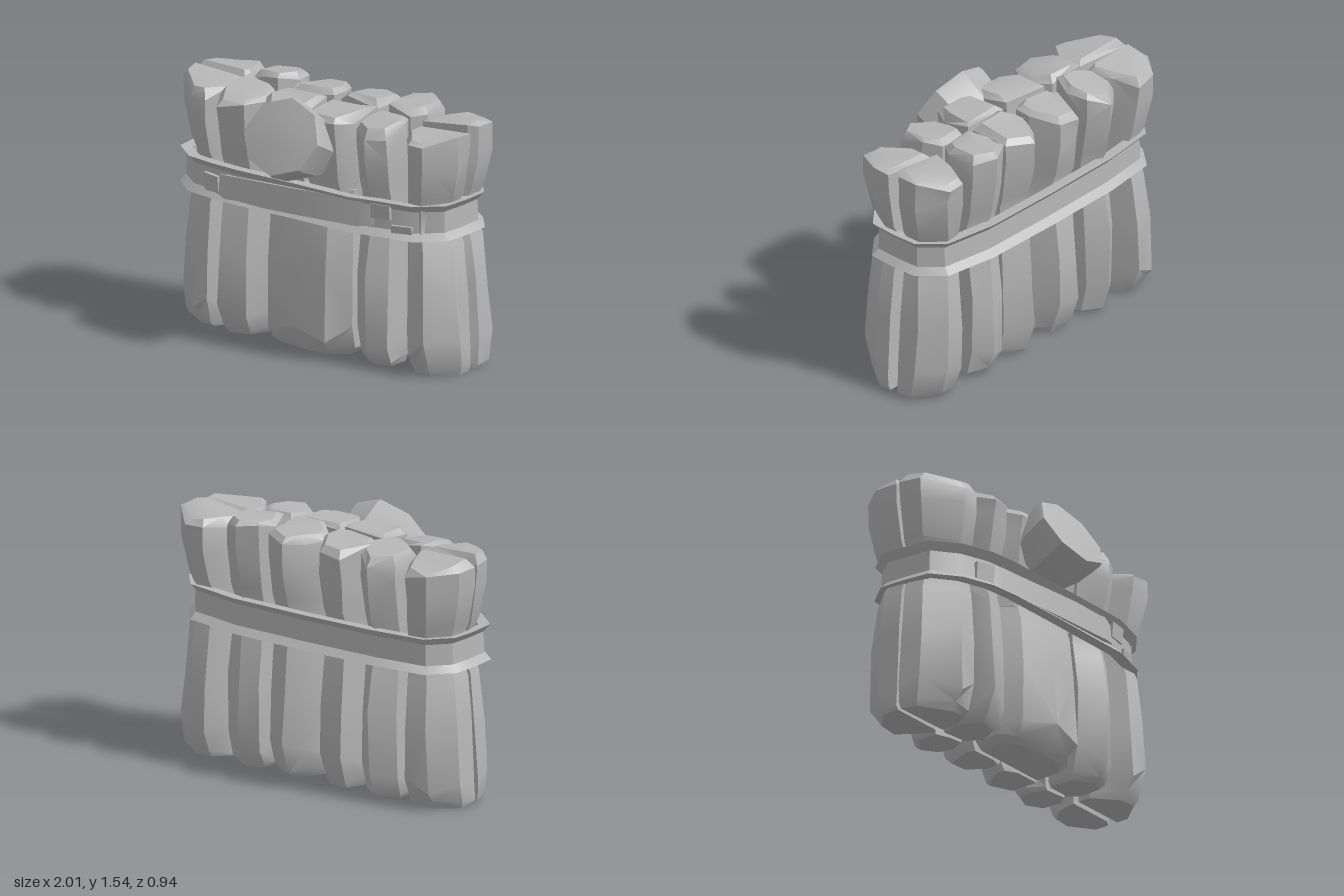
import * as THREE from 'three';
import { toCreasedNormals } from 'three/addons/utils/BufferGeometryUtils.js';

const V = (x, y, z) => new THREE.Vector3(x, y, z);

// Skin a list of equal-length rings; either capped at both ends or joined into a loop
function loft(rings, closed = false) {
  const n = rings[0].length, m = rings.length, tris = [];
  for (let i = 0; i < (closed ? m : m - 1); i++) {
    const a = rings[i], b = rings[(i + 1) % m];
    for (let j = 0; j < n; j++) {
      const k = (j + 1) % n;
      if ((i + j) % 2) tris.push(a[j], a[k], b[k], a[j], b[k], b[j]);
      else tris.push(a[j], a[k], b[j], a[k], b[k], b[j]);
    }
  }
  if (!closed) {
    const cap = (r, flip) => {
      const c = V(0, 0, 0);
      r.forEach(p => c.addScaledVector(p, 1 / n));
      r.forEach((p, j) => {
        const q = r[(j + 1) % n];
        flip ? tris.push(c, q, p) : tris.push(c, p, q);
      });
    };
    cap(rings[0], true);
    cap(rings[m - 1], false);
  }
  // Make the surface face outward
  let volume = 0;
  for (let i = 0; i < tris.length; i += 3) {
    volume += tris[i].dot(tris[i + 1].clone().cross(tris[i + 2]));
  }
  if (volume < 0) {
    for (let i = 0; i < tris.length; i += 3) [tris[i + 1], tris[i + 2]] = [tris[i + 2], tris[i + 1]];
  }
  return toCreasedNormals(new THREE.BufferGeometry().setFromPoints(tris), 0.55);
}

// Height, outer stick width, inner stick width, depth and roughness: pinched at the strap
const PROFILE = [
  [0.012, 0.96, 0.8, 0.7, 0], [0.05, 1, 0.96, 0.8, 0.3], [0.17, 1, 1, 0.96, 1], [0.5, 0.94, 0.98, 0.95, 1],
  [0.78, 0.87, 0.95, 0.85, 0.3], [0.86, 0.77, 0.94, 0.78, 0], [1.01, 0.77, 0.94, 0.78, 0],
  [1.08, 0.87, 0.96, 0.87, 0.3], [1.27, 0.99, 1, 0.97, 1],
];

export function createModel() {
  const group = new THREE.Group();
  const stone = new THREE.MeshStandardMaterial({ color: 0xb6b6b6 });
  stone.name = 'grey';
  const add = (name, geometry) => {
    const mesh = new THREE.Mesh(geometry, stone);
    mesh.name = name;
    group.add(mesh);
    return mesh;
  };
  let seed = 7;
  const rand = () => ((seed = (seed * 16807) % 2147483647) / 2147483647) - 0.5;

  // One stick from its plan outline; its top is tilted by slopeX and slopeZ
  function stick(name, plan, top, slopeX, slopeZ, y0 = 0, y1 = 2) {
    const xs = plan.map(p => p[0]), zs = plan.map(p => p[1]);
    const mx = (Math.min(...xs) + Math.max(...xs)) / 2;
    const mz = (Math.min(...zs) + Math.max(...zs)) / 2;
    const outer = Math.abs(mx) > 0.7;
    const ax = outer ? Math.sign(mx) * 0.63 : mx; // outer sticks keep their inner edge
    const az = mz < -0.11 ? -0.13 : -0.1;         // rows keep the gap between them
    const rings = PROFILE.filter(p => p[0] >= y0 && p[0] <= y1).map(([y, so, si, sz, rough]) =>
      plan.map(([x, z]) => V(
        ax + (x - ax) * (outer ? so : si) * (1 + rand() * 0.04 * rough),
        y + rand() * 0.12 * rough,
        az + (z - az) * sz * (1 + rand() * 0.09 * rough))));
    if (y1 > 1.3) {
      const tilt = (x, z) => slopeX * (x - mx) + slopeZ * (z - mz);
      rings.push(plan.map(([x, z]) => V(x, top - 0.03 + tilt(x, z) + rand() * 0.05, z)));
      rings.push(plan.map(([x, z]) => {
        const px = mx + (x - mx) * 0.78, pz = mz + (z - mz) * 0.78;
        return V(px, top + tilt(px, pz) + rand() * 0.03, pz);
      }));
    }
    add(name, loft(rings));
  }

  // Back row, from the right side to the left
  [
    [[[-1, -0.13], [-1, -0.28], [-0.88, -0.43], [-0.74, -0.45], [-0.67, -0.31], [-0.61, -0.16], [-0.64, -0.13]], 1.46, -0.04, 0.1],
    [[[-0.62, -0.18], [-0.61, -0.37], [-0.48, -0.47], [-0.37, -0.38], [-0.34, -0.25], [-0.4, -0.12], [-0.5, -0.13]], 1.48, 0.05, 0.12],
    [[[-0.32, -0.2], [-0.25, -0.43], [-0.1, -0.42], [-0.01, -0.26], [-0.02, -0.15], [-0.1, -0.12], [-0.3, -0.13]], 1.47, 0.05, 0.1],
    [[[0, -0.24], [0.06, -0.36], [0.15, -0.45], [0.31, -0.37], [0.31, -0.12], [0.1, -0.12], [0.01, -0.18]], 1.47, 0.02, 0.15],
    [[[0.33, -0.27], [0.36, -0.4], [0.48, -0.46], [0.6, -0.38], [0.61, -0.2], [0.55, -0.12], [0.38, -0.14]], 1.49, -0.04, 0.02],
    [[[0.63, -0.13], [0.66, -0.3], [0.74, -0.43], [0.86, -0.44], [1, -0.3], [1, -0.17], [0.95, -0.13]], 1.45, 0.1, 0.1],
  ].forEach(s => stick('backStick', ...s));

  // Front row
  [
    [[[-1, -0.11], [-0.97, 0.02], [-0.78, 0.19], [-0.68, 0.2], [-0.61, 0.04], [-0.62, -0.1]], 1.46, -0.04, -0.1],
    [[[-0.6, -0.12], [-0.64, 0.03], [-0.64, 0.1], [-0.56, 0.25], [-0.4, 0.2], [-0.33, 0.04], [-0.4, -0.09]], 1.45, -0.05, -0.2],
    [[[0.34, -0.02], [0.35, 0.13], [0.49, 0.24], [0.6, 0.18], [0.61, 0], [0.55, -0.1], [0.36, -0.1]], 1.45, 0.05, -0.15],
    [[[0.63, -0.09], [0.63, 0.02], [0.77, 0.2], [0.88, 0.21], [1, 0.02], [1, -0.09]], 1.43, 0.1, -0.08],
  ].forEach(s => stick('frontStick', ...s));

  // Centre of the front row: a wide slab below the strap, two stubs above it
  stick('frontSlab', [[-0.32, -0.1], [-0.32, 0.1], [-0.24, 0.21], [0, 0.25], [0.2, 0.24], [0.32, 0.13], [0.32, -0.1]], 0, 0, 0, 0, 1.05);
  stick('upperStub', [[-0.32, -0.1], [-0.33, 0.08], [-0.25, 0.2], [-0.01, 0.2], [0, -0.02], [-0.02, -0.08]], 1.47, 0.02, -0.12, 0.82);
  stick('upperStub', [[0.01, -0.08], [0.01, 0.2], [0.25, 0.21], [0.31, 0.1], [0.33, -0.1]], 1.47, 0, -0.1, 0.82);

  // Strap around the bundle, with flared lips along both edges
  const path = [
    [0, 0.225], [0.4, 0.225], [0.58, 0.21], [0.78, 0.16], [0.92, 0.05], [0.93, -0.11], [0.93, -0.25], [0.83, -0.37],
    [0.5, -0.41], [0, -0.415],
  ];
  path.push(...path.slice(1, -1).reverse().map(([x, z]) => [-x, z]));
  const section = [[-0.03, 0.83], [0.045, 0.825], [0.005, 0.865], [0, 0.99], [0.04, 1.035], [-0.03, 1.03]];
  add('strap', loft(path.map(([x, z], i) => {
    const a = path[(i + path.length - 1) % path.length], b = path[(i + 1) % path.length];
    const out = new THREE.Vector2(a[1] - b[1], b[0] - a[0]).normalize();
    if (out.x * x + out.y * (z + 0.1) < 0) out.negate();
    const wobble = rand() * 0.012;
    return section.map(([d, y]) => V(x + out.x * d, y + wobble, z + out.y * d));
  }), true));

  // Overlapping strap end across the front
  add('strapFlap', loft([
    [-0.57, 0.84, 0.97, 0.23], [-0.5, 0.835, 0.98, 0.25], [0, 0.85, 1.0, 0.26], [0.45, 0.865, 1.025, 0.255], [0.54, 0.88, 1.03, 0.225],
  ].map(([x, lo, hi, z]) => [V(x, lo, z - 0.05), V(x, lo, z), V(x, hi, z - 0.015), V(x, hi, z - 0.05)])));

  // Folded tabs beside the strap end
  for (const [x, y, h] of [[0.59, 0.97, 0.09], [-0.62, 0.9, 0.12], [0.72, 0.87, 0.06]]) {
    const s = Math.sign(x);
    add('strapTab', loft([-0.06, 0.06].map(d => {
      const z = 0.22 - Math.max(0, s * (x + d) - 0.58) * 0.3;
      return [V(x + d, y - h / 2, z - 0.03), V(x + d, y - h / 2, z + 0.01), V(x + d, y + h / 2, z + 0.02), V(x + d, y + h / 2, z - 0.03)];
    })));
  }

  // Large round knob with a shallow domed face, tilted up and leaning out over the strap
  const knobRing = (r, t) => Array.from({ length: 8 }, (_, i) => {
    const a = i * Math.PI / 4;
    return V(Math.cos(a) * r * 1.08, t, Math.sin(a) * r * 0.97);
  });
  const knob = add('knob', loft([knobRing(0.2, -0.27), knobRing(0.23, -0.18), knobRing(0.245, -0.03), knobRing(0.24, 0), knobRing(0.1, 0.015)]));
  knob.position.set(-0.01, 1.34, 0.365);
  knob.rotation.x = 1.1;

  return group;
}
